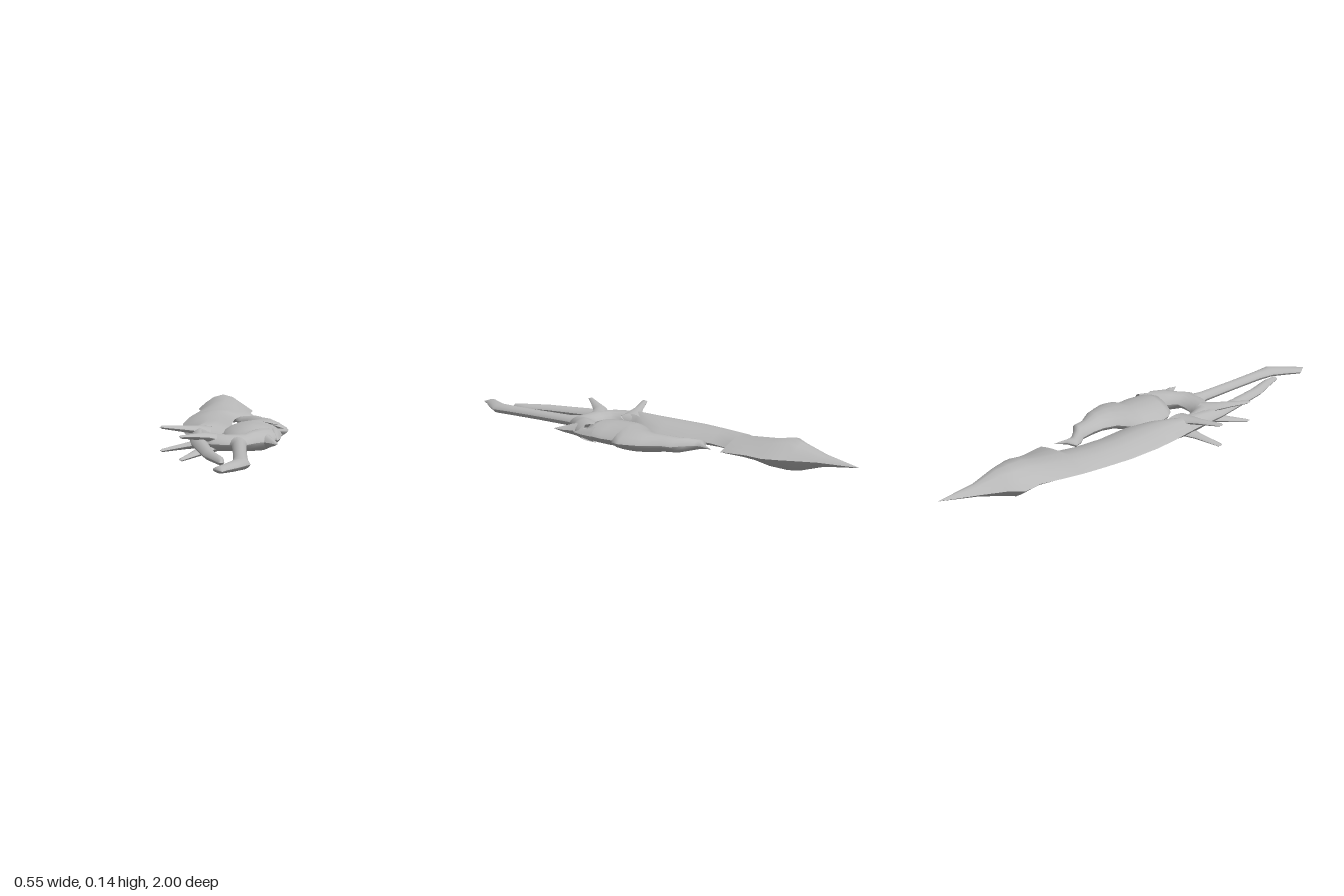
import * as THREE from 'three';

const MID = 0.07; // height of the flat symmetry plane

// Lofts a lens-shaped body through sections [lx, lz, rx, rz, halfThickness, yShift].
// Upper and lower sheets keep separate normals, so the edges stay sharp.
function loft(sections, power = 1, n = 8) {
  const pos = [], idx = [];
  for (const side of [1, -1]) {
    const start = pos.length / 3;
    for (const [lx, lz, rx, rz, h, dy = 0] of sections) {
      for (let j = 0; j <= n; j++) {
        const s = (1 - Math.cos((Math.PI * j) / n)) / 2;
        const bulge = j === 0 || j === n ? 0 : Math.pow(Math.sin(Math.PI * s), power);
        pos.push(lx + (rx - lx) * s, MID + dy + side * h * bulge, lz + (rz - lz) * s);
      }
    }
    for (let i = 0; i < sections.length - 1; i++) {
      for (let j = 0; j < n; j++) {
        const a = start + i * (n + 1) + j, b = a + n + 1;
        if (side > 0) idx.push(a, b, a + 1, a + 1, b, b + 1);
        else idx.push(a, a + 1, b, a + 1, b + 1, b);
      }
    }
  }
  const g = new THREE.BufferGeometry();
  g.setAttribute('position', new THREE.Float32BufferAttribute(pos, 3));
  g.setIndex(idx);
  g.computeVertexNormals();
  return g;
}

export function createModel() {
  const group = new THREE.Group();
  const steel = new THREE.MeshStandardMaterial({ color: 0xb8b8b8, side: THREE.DoubleSide });
  steel.name = 'grey steel';
  const add = (name, sections, power) => {
    const mesh = new THREE.Mesh(loft(sections, power), steel);
    mesh.name = name;
    group.add(mesh);
  };

  // Main blade, with a barb on its right edge
  add('blade', [
    [0.025, -1, 0.025, -1, 0],
    [-0.04, -0.84, 0.05, -0.825, 0.026],
    [-0.085, -0.74, 0.09, -0.72, 0.058],
    [-0.13, -0.68, 0.107, -0.68, 0.07],
    [-0.12, -0.6, 0.13, -0.61, 0.058],
    [-0.14, -0.52, 0.12, -0.53, 0.046],
    [-0.162, -0.42, 0.135, -0.42, 0.034],
    [-0.165, -0.4, 0.065, -0.405, 0.034],
    [-0.178, -0.3, 0.04, -0.31, 0.036],
    [-0.19, -0.185, 0.03, -0.185, 0.04],
    [-0.19, -0.04, 0.04, -0.04, 0.044],
    [-0.18, 0.06, 0.02, 0.06, 0.046],
    [-0.165, 0.15, -0.04, 0.14, 0.046],
    [-0.155, 0.22, -0.06, 0.2, 0.042],
    [-0.145, 0.3, -0.06, 0.3, 0.035],
  ]);

  // Curved tail continuing the blade past the guard
  add('tail', [
    [-0.15, 0.24, -0.06, 0.24, 0.035],
    [-0.14, 0.37, -0.07, 0.37, 0.026],
    [-0.11, 0.53, -0.055, 0.5, 0.022],
    [-0.085, 0.66, -0.035, 0.63, 0.02],
    [-0.045, 0.76, -0.005, 0.74, 0.017],
    [-0.025, 0.815, -0.003, 0.8, 0.012],
    [-0.02, 0.82, -0.01, 0.818, 0],
  ], 0.7);

  // Hooked crescent beside the blade
  add('crescent', [
    [0.12, -0.365, 0.12, -0.365, 0],
    [0.09, -0.315, 0.107, -0.3, 0.012],
    [0.045, -0.295, 0.115, -0.275, 0.02],
    [0.06, -0.26, 0.15, -0.24, 0.027],
    [0.085, -0.23, 0.19, -0.21, 0.032],
    [0.098, -0.165, 0.195, -0.165, 0.035],
    [0.098, -0.11, 0.245, -0.095, 0.04],
    [0.08, -0.05, 0.262, -0.045, 0.044],
    [0.035, -0.01, 0.275, 0, 0.047],
    [0, 0.03, 0.266, 0.04, 0.049],
    [-0.01, 0.06, 0.237, 0.035, 0.05],
    [-0.01, 0.12, 0.242, 0.12, 0.051],
    [0.005, 0.18, 0.23, 0.19, 0.05],
    [0.03, 0.212, 0.222, 0.225, 0.038],
    [0.06, 0.225, 0.2, 0.24, 0],
  ], 0.65);

  // Guard arch around the opening
  add('guard', [
    [-0.16, 0.18, -0.05, 0.13, 0.035],
    [-0.13, 0.27, -0.06, 0.22, 0.038],
    [-0.1, 0.345, -0.045, 0.265, 0.038],
    [-0.05, 0.39, -0.01, 0.285, 0.036],
    [0.02, 0.4, 0.025, 0.29, 0.034],
    [0.09, 0.4, 0.07, 0.285, 0.036],
    [0.13, 0.35, 0.095, 0.24, 0.042],
    [0.18, 0.32, 0.11, 0.2, 0.046],
    [0.215, 0.26, 0.15, 0.16, 0.04],
  ], 0.65);

  // Grip with a bent pommel
  add('grip', [
    [0.0, 0.36, 0.1, 0.36, 0.03],
    [0.027, 0.42, 0.085, 0.42, 0.024],
    [0.03, 0.6, 0.085, 0.6, 0.022],
    [0.03, 0.76, 0.087, 0.76, 0.022],
    [0.02, 0.83, 0.095, 0.85, 0.022],
    [-0.015, 0.9, 0.05, 0.915, 0.018],
    [-0.045, 0.95, 0.01, 0.965, 0.014],
    [-0.012, 0.998, -0.01, 1.0, 0],
  ], 0.6);

  // Side thorns in the middle plane
  add('upperRightThorn', [
    [0.17, 0.17, 0.238, 0.17, 0.035],
    [0.19, 0.23, 0.232, 0.23, 0.02],
    [0.215, 0.285, 0.217, 0.285, 0],
  ]);
  add('lowerRightThorn', [
    [0.11, 0.26, 0.205, 0.24, 0.04],
    [0.15, 0.325, 0.2, 0.3, 0.025],
    [0.18, 0.355, 0.213, 0.345, 0.014],
    [0.21, 0.395, 0.212, 0.395, 0],
  ]);

  // Paired left prongs, splayed above and below the middle plane
  for (const s of [1, -1]) {
    const place = s > 0 ? 'Top' : 'Bottom';
    add('upperLeftProng' + place, [
      [-0.06, 0.1, -0.06, 0.23, 0.022, s * 0.02],
      [-0.11, 0.145, -0.11, 0.225, 0.019, s * 0.029],
      [-0.17, 0.185, -0.165, 0.228, 0.014, s * 0.036],
      [-0.268, 0.228, -0.258, 0.255, 0.007, s * 0.049],
      [-0.275, 0.245, -0.268, 0.255, 0, s * 0.049],
    ], 0.7);
    add('lowerLeftProng' + place, [
      [-0.06, 0.28, -0.02, 0.37, 0.022, s * 0.016],
      [-0.12, 0.35, -0.065, 0.385, 0.018, s * 0.028],
      [-0.15, 0.41, -0.11, 0.43, 0.012, s * 0.037],
      [-0.185, 0.475, -0.165, 0.488, 0.007, s * 0.046],
      [-0.182, 0.497, -0.175, 0.5, 0, s * 0.047],
    ], 0.7);
  }
  return group;
}
